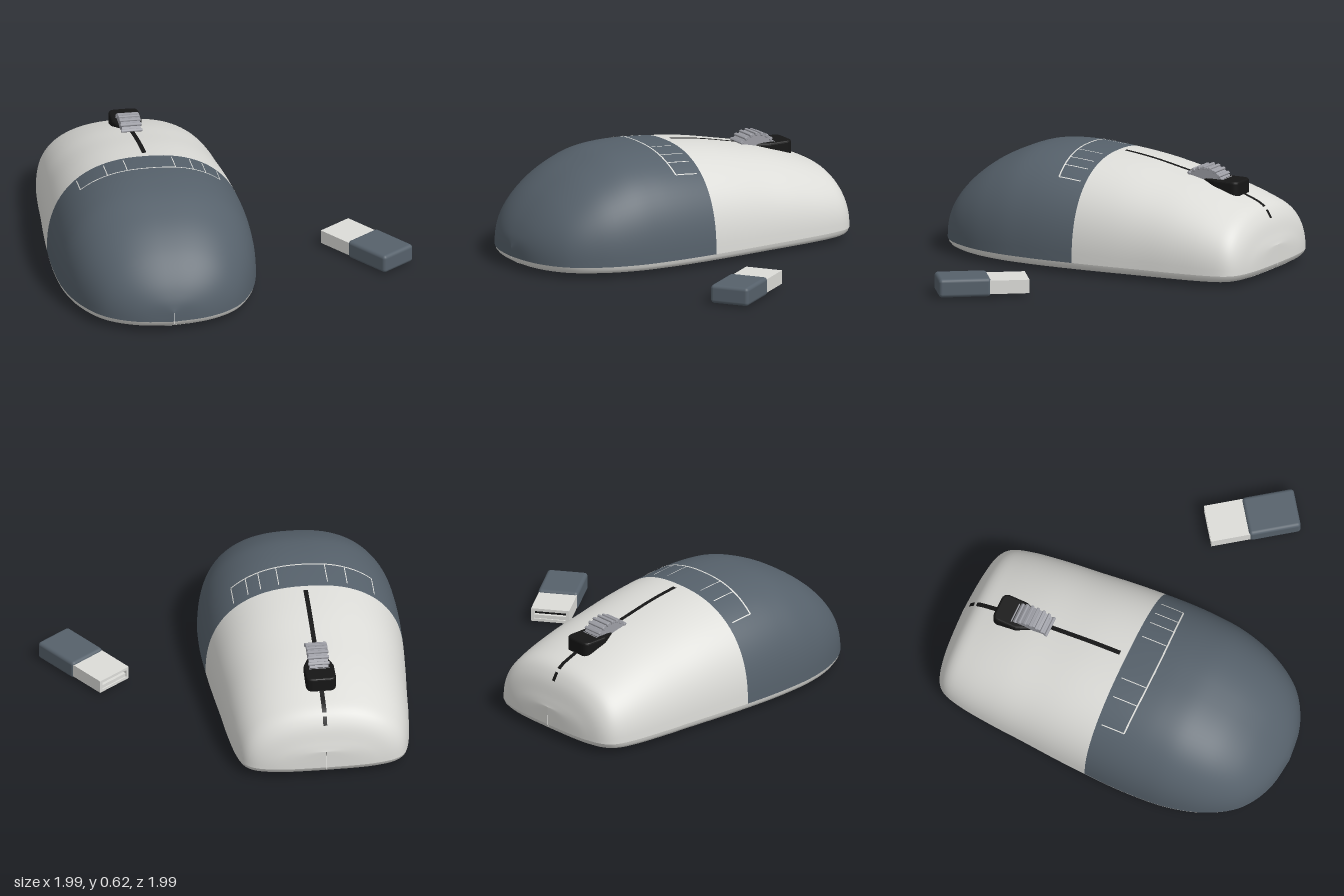
import * as THREE from 'three';
import { RoundedBoxGeometry } from 'three/addons/geometries/RoundedBoxGeometry.js';

const mat = (name, color) => new THREE.MeshStandardMaterial({ name, color });

// Body stations: half width, top height, z
const STATIONS = [
  [0.001, 0.17, -0.995], [0.2, 0.18, -0.991], [0.3, 0.22, -0.98], [0.4, 0.315, -0.95], [0.45, 0.38, -0.9],
  [0.48, 0.425, -0.8], [0.505, 0.49, -0.6], [0.52, 0.535, -0.4], [0.537, 0.575, -0.2], [0.55, 0.6, 0],
  [0.556, 0.614, 0.18], [0.553, 0.615, 0.32], [0.542, 0.597, 0.46], [0.512, 0.545, 0.6], [0.475, 0.492, 0.7],
  [0.42, 0.418, 0.8], [0.36, 0.348, 0.87], [0.27, 0.268, 0.93], [0.16, 0.19, 0.97], [0.001, 0.12, 0.99],
];
const SPLIT = 9;        // station where the two shell colours meet
const STEPS = 5;        // rows between stations
const RIM = 0.066;      // lower edge of the shell
const POWER = 2.4;      // squareness of the cross-section
const CURVE = new THREE.CatmullRomCurve3(STATIONS.map((s) => new THREE.Vector3(...s)));

// Height of the shell above a plan position
function topY(x, z) {
  let lo = 0, hi = 1;
  for (let i = 0; i < 30; i++) {
    const mid = (lo + hi) / 2;
    if (CURVE.getPoint(mid).z < z) lo = mid; else hi = mid;
  }
  const p = CURVE.getPoint(lo);
  const k = Math.max(0, 1 - Math.pow(Math.abs(x) / p.x, POWER));
  return RIM + (p.y - RIM) * Math.pow(k, 1 / POWER);
}

function gridGeometry(rows, splitRow) {
  const n = rows[0].length, index = [];
  for (let i = 0; i < rows.length - 1; i++) {
    for (let j = 0; j < n - 1; j++) {
      const a = i * n + j, c = a + n;
      index.push(a, a + 1, c, a + 1, c + 1, c);
    }
  }
  const g = new THREE.BufferGeometry();
  g.setAttribute('position', new THREE.Float32BufferAttribute(rows.flat(2), 3));
  g.setIndex(index);
  g.computeVertexNormals();
  if (splitRow) {
    const cut = splitRow * (n - 1) * 6;
    g.addGroup(0, cut, 0);
    g.addGroup(cut, index.length - cut, 1);
  }
  return g;
}

function loft(section, splitRow) {
  const count = (STATIONS.length - 1) * STEPS, rows = [];
  for (let i = 0; i <= count; i++) rows.push(section(CURVE.getPoint(i / count)));
  return gridGeometry(rows, splitRow);
}

// Thin painted strip lying on the shell; path(t) returns [x, z]
function ribbon(path, width) {
  const rows = [], n = 24;
  for (let i = 0; i <= n; i++) {
    const [x, z] = path(i / n);
    const a = path(Math.max(0, i / n - 0.01)), b = path(Math.min(1, i / n + 0.01));
    const dx = b[0] - a[0], dz = b[1] - a[1], l = Math.hypot(dx, dz);
    rows.push([-0.5, 0.5].map((s) => {
      const px = x - s * width * dz / l, pz = z + s * width * dx / l;
      return [px, topY(px, pz) + 0.004, pz];
    }));
  }
  return gridGeometry(rows);
}
const line = (x0, z0, x1, z1) => (t) => [x0 + (x1 - x0) * t, z0 + (z1 - z0) * t];

export function createModel() {
  const light = mat('lightPlastic', 0xdcdcd8);
  const dark = mat('slatePlastic', 0x56616b);
  const black = mat('blackRubber', 0x161616);
  const grey = mat('greyWheel', 0x9c9da4);
  black.side = light.side = THREE.DoubleSide;

  const model = new THREE.Group();
  const mouse = new THREE.Group();
  mouse.name = 'mouse';
  mouse.position.x = -0.443;
  const add = (parent, name, geometry, material, x = 0, y = 0, z = 0) => {
    const m = new THREE.Mesh(geometry, material);
    m.name = name;
    m.position.set(x, y, z);
    parent.add(m);
    return m;
  };

  // Domed shell in two colours
  const pw = (v) => Math.sign(v) * Math.pow(Math.abs(v), 2 / POWER);
  add(mouse, 'shell', loft((p) => {
    const ring = [];
    for (let j = 0; j <= 48; j++) {
      const a = Math.PI * j / 48;
      const s = j === 48 ? 0 : Math.sin(a);
      ring.push([p.x * pw(Math.cos(a)), RIM + (p.y - RIM) * pw(s), p.z]);
    }
    return ring;
  }, SPLIT * STEPS), [light, dark]);

  // Base pan: scale of the outline and height, from rim to underside
  const pan = [[1, RIM], [0.993, 0.05], [0.98, 0.036], [0.96, 0.028], [0.93, 0.025], [0.9, 0.025]];
  add(mouse, 'base', loft((p) => {
    const left = pan.map(([s, y]) => [-p.x * s, y, p.z * Math.max(s, 0.96)]);
    const right = left.map(([x, y, z]) => [-x, y, z]).reverse();
    return [...left, ...right];
  }), light);

  // Glide pads
  for (const [name, z] of [['frontPad', 0.69], ['rearPad', -0.73]]) {
    add(mouse, name, new RoundedBoxGeometry(0.54, 0.034, 0.185, 2, 0.01), black, 0, 0.017, z);
  }

  // Slit between the buttons
  add(mouse, 'longSlit', ribbon(line(0, -0.46, 0, -0.04), 0.025), black);
  add(mouse, 'shortSlit', ribbon(line(0, -0.91, 0, -0.75), 0.025), black);
  add(mouse, 'slitEnd', ribbon(line(0, -0.952, 0, -0.925), 0.022), black);

  // Fine seam lines behind the buttons
  add(mouse, 'seamArc', ribbon((t) => {
    const x = -0.39 + 0.78 * t;
    return [x, 0.185 - 0.13 * x * x];
  }, 0.009), light);
  for (const x of [-0.39, -0.24, -0.13, 0.14, 0.24, 0.31, 0.39]) {
    add(mouse, 'seamLine', ribbon(line(x, 0.03, x, 0.185 - 0.13 * x * x), 0.005), light);
  }

  // Wheel well block, narrowing towards the wheel
  const well = new THREE.Shape();
  well.moveTo(-0.04, -0.56);
  well.lineTo(0.04, -0.56);
  well.lineTo(0.072, -0.64);
  well.lineTo(0.072, -0.74);
  well.quadraticCurveTo(0.072, -0.77, 0.045, -0.77);
  well.lineTo(-0.045, -0.77);
  well.quadraticCurveTo(-0.072, -0.77, -0.072, -0.74);
  well.lineTo(-0.072, -0.64);
  well.closePath();
  const wellGeo = new THREE.ExtrudeGeometry(well, {
    depth: 0.1, bevelSize: 0.012, bevelThickness: 0.012, bevelSegments: 3,
  });
  wellGeo.rotateX(Math.PI / 2);
  add(mouse, 'wheelWell', wellGeo, black, 0, 0.498, 0);

  // Ribbed scroll wheel
  const wheel = new THREE.Group();
  wheel.name = 'scrollWheel';
  wheel.position.set(0, 0.435, -0.56);
  add(wheel, 'wheelCore', new THREE.CylinderGeometry(0.132, 0.132, 0.105, 48).rotateZ(Math.PI / 2), grey);
  for (let i = 0; i < 24; i++) {
    const a = i / 24 * Math.PI * 2;
    const rib = add(wheel, 'wheelRib', new RoundedBoxGeometry(0.12, 0.02, 0.018, 1, 0.005), grey,
      0, Math.cos(a) * 0.131, Math.sin(a) * 0.131);
    rib.rotation.x = a;
  }
  mouse.add(wheel);
  model.add(mouse);

  // Wireless receiver
  const receiver = new THREE.Group();
  receiver.name = 'receiver';
  receiver.position.set(0.822, 0.058, 0.292);
  receiver.rotation.y = 0.626;
  add(receiver, 'receiverBody', new RoundedBoxGeometry(0.226, 0.104, 0.29, 3, 0.02), dark);
  const rect = (T, w, h) => new T([[-w, -h], [w, -h], [w, h], [-w, h]].map(([x, y]) => new THREE.Vector2(x, y)));
  const sleeve = rect(THREE.Shape, 0.107, 0.038);
  sleeve.holes.push(rect(THREE.Path, 0.09, 0.022));
  add(receiver, 'plugSleeve', new THREE.ExtrudeGeometry(sleeve, { depth: 0.225, bevelEnabled: false }), light, 0, 0, -0.358);
  add(receiver, 'plugCore', new THREE.BoxGeometry(0.18, 0.02, 0.2), light, 0, -0.012, -0.25);
  add(receiver, 'plugSlot', new THREE.BoxGeometry(0.18, 0.044, 0.14), black, 0, 0, -0.26);
  model.add(receiver);
  return model;
}
